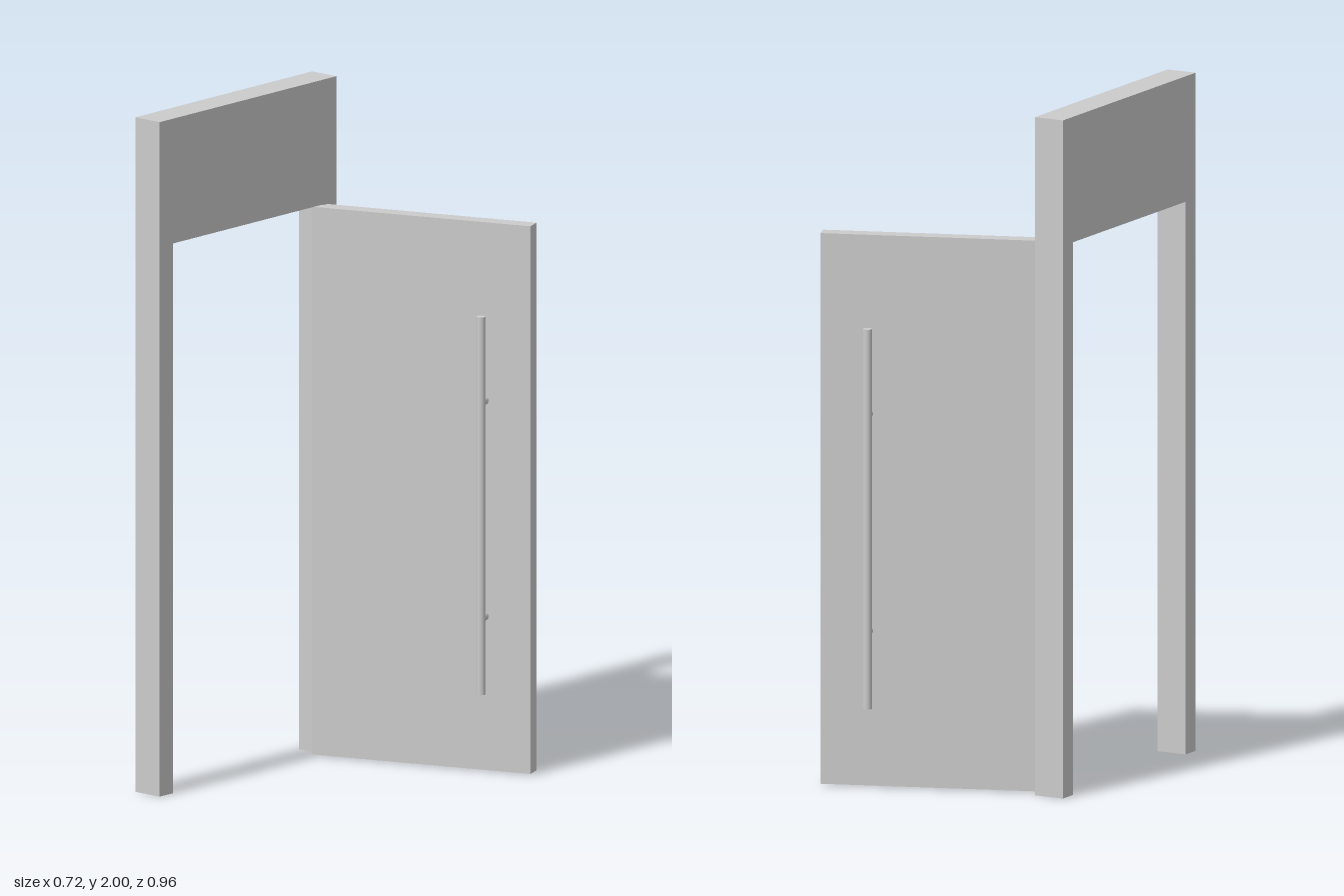
import * as THREE from 'three';

const material = new THREE.MeshStandardMaterial({ color: 0xcccccc, side: THREE.DoubleSide });

function addMesh(parent, name, geometry, x = 0, y = 0, z = 0) {
  const mesh = new THREE.Mesh(geometry, material);
  mesh.name = name;
  mesh.position.set(x, y, z);
  parent.add(mesh);
  return mesh;
}

// Two posts and a deep lintel in one piece, with open feet
function frameGeometry() {
  const half = 0.386, inner = 0.328, lintelBottom = 1.63, depth = 0.093;
  const outline = new THREE.Shape([
    [-half, 0], [-inner, 0], [-inner, lintelBottom], [inner, lintelBottom],
    [inner, 0], [half, 0], [half, 2], [-half, 2],
  ].map(([u, v]) => new THREE.Vector2(u, v)));
  const geometry = new THREE.ExtrudeGeometry(outline, { depth, bevelEnabled: false });
  const p = geometry.getAttribute('position');
  const kept = [];
  for (let i = 0; i < p.count; i += 3) {
    const onGround = [0, 1, 2].every((k) => p.getY(i + k) < 1e-6);
    if (!onGround) kept.push(i, i + 1, i + 2);
  }
  geometry.setIndex(kept);
  geometry.clearGroups();
  return geometry.translate(0, 0, -depth / 2).rotateY(Math.PI / 2);
}

export function createModel() {
  const model = new THREE.Group();
  model.name = 'openDoor';
  addMesh(model, 'doorFrame', frameGeometry(), -0.3135, 0, 0.091);

  // Door leaf, swung open past a right angle
  const door = new THREE.Group();
  door.name = 'door';
  door.position.set(0.031, 0, -0.339);
  door.rotation.y = THREE.MathUtils.degToRad(20);
  model.add(door);
  addMesh(door, 'doorLeaf', new THREE.BoxGeometry(0.679, 1.624, 0.049), 0, 0.816, 0);

  // A long pull bar with two standoffs on each face
  const handleX = 0.198;
  for (const [side, reach] of [['front', 0.055], ['back', -0.046]]) {
    addMesh(door, side + 'HandleBar', new THREE.CylinderGeometry(0.0135, 0.0135, 1.12, 24), handleX, 0.795, reach);
    for (const y of [0.46, 1.1]) {
      const standoff = new THREE.CylinderGeometry(0.0125, 0.0125, Math.abs(reach), 20).rotateX(Math.PI / 2);
      addMesh(door, side + 'HandleStandoff', standoff, handleX, y, reach / 2);
    }
  }
  return model;
}
